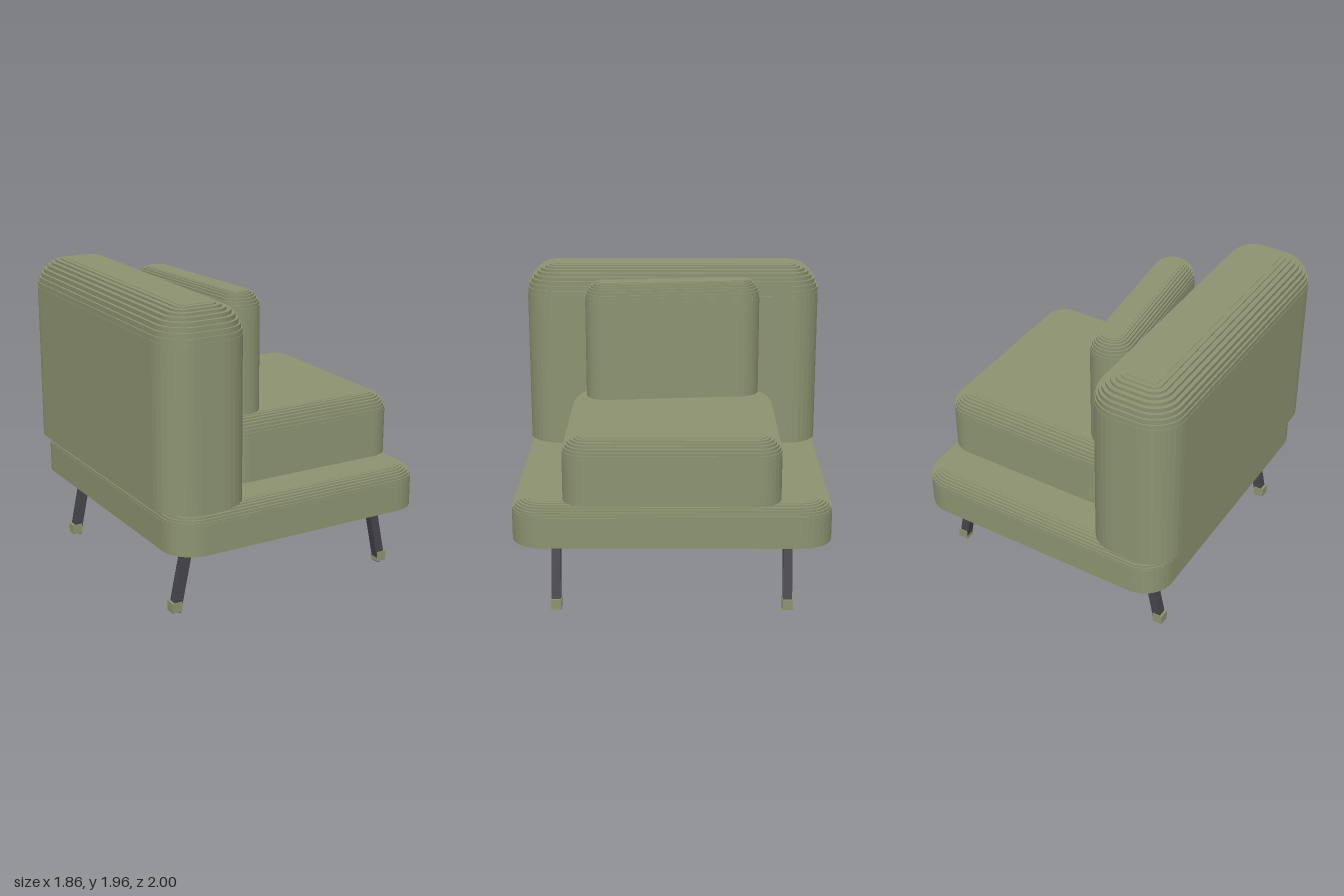
import * as THREE from 'three';
import { mergeGeometries } from 'three/addons/utils/BufferGeometryUtils.js';

const fabric = new THREE.MeshStandardMaterial({ color: 0x8b926f });
fabric.name = 'olive fabric';
const metal = new THREE.MeshStandardMaterial({ color: 0x45454a });
metal.name = 'dark metal';

// Rounded rectangle slab between two heights
function slab(w, d, r, y0, y1) {
  const x = w / 2 - r, z = d / 2 - r, q = Math.PI / 2;
  const s = new THREE.Shape();
  s.absarc(x, z, r, 0, q);
  s.absarc(-x, z, r, q, 2 * q);
  s.absarc(-x, -z, r, 2 * q, 3 * q);
  s.absarc(x, -z, r, 3 * q, 4 * q);
  s.closePath();
  const g = new THREE.ExtrudeGeometry(s, { depth: y1 - y0, bevelEnabled: false, curveSegments: 4 });
  return g.rotateX(-Math.PI / 2).translate(0, y0, 0);
}

// Cushion: straight body, then a terraced quarter-round top
function cushion(name, { w, d, r, bottom, shoulder, top, inset, steps }) {
  const layers = [slab(w, d, r, bottom, shoulder)];
  let y = shoulder;
  for (let i = 1; i <= steps; i++) {
    const t = (i / steps) * Math.PI / 2;
    const k = inset * (1 - Math.cos(t));
    const next = shoulder + (top - shoulder) * Math.sin(t);
    layers.push(slab(w - 2 * k, d - 2 * k, Math.max(r - k, 0.02), y, next));
    y = next;
  }
  const mesh = new THREE.Mesh(mergeGeometries(layers), fabric);
  mesh.name = name;
  return mesh;
}

export function createModel() {
  const chair = new THREE.Group();
  chair.name = 'loungeChair';

  const base = cushion('base', { w: 1.81, d: 2, r: 0.2, bottom: 0.465, shoulder: 0.66, top: 0.735, inset: 0.1, steps: 7 });
  base.position.x = 0.025;

  const back = cushion('backrest', { w: 0.58, d: 2, r: 0.21, bottom: 0.735, shoulder: 1.775, top: 1.962, inset: 0.19, steps: 9 });
  back.position.x = -0.64;

  const seat = cushion('seatCushion', { w: 1.28, d: 1.36, r: 0.16, bottom: 0.735, shoulder: 1.035, top: 1.145, inset: 0.12, steps: 8 });
  seat.position.x = 0.285;

  // Loose pillow, turned slightly on the seat
  const pillow = cushion('pillow', { w: 0.285, d: 1.16, r: 0.135, bottom: 1.145, shoulder: 1.8, top: 1.917, inset: 0.085, steps: 8 });
  pillow.position.x = -0.19;
  pillow.rotation.y = 0.1;

  chair.add(base, back, seat, pillow);

  // Splayed legs with square feet
  for (const sx of [-1, 1]) {
    for (const z of [-0.73, 0.73]) {
      const topX = 0.02 + sx * 0.685, footX = 0.02 + sx * 0.782;
      const height = 0.463;
      const angle = Math.atan2(footX - topX, height);
      const leg = new THREE.Mesh(new THREE.BoxGeometry(0.058, Math.hypot(footX - topX, height), 0.058), metal);
      leg.name = 'leg';
      leg.position.set((topX + footX) / 2, 0.007 + height / 2, z);
      leg.rotation.z = angle;
      const foot = new THREE.Mesh(new THREE.BoxGeometry(0.067, 0.067, 0.067), fabric);
      foot.name = 'foot';
      foot.position.set(0.02 + sx * 0.78, 0.042, z);
      chair.add(leg, foot);
    }
  }
  return chair;
}
